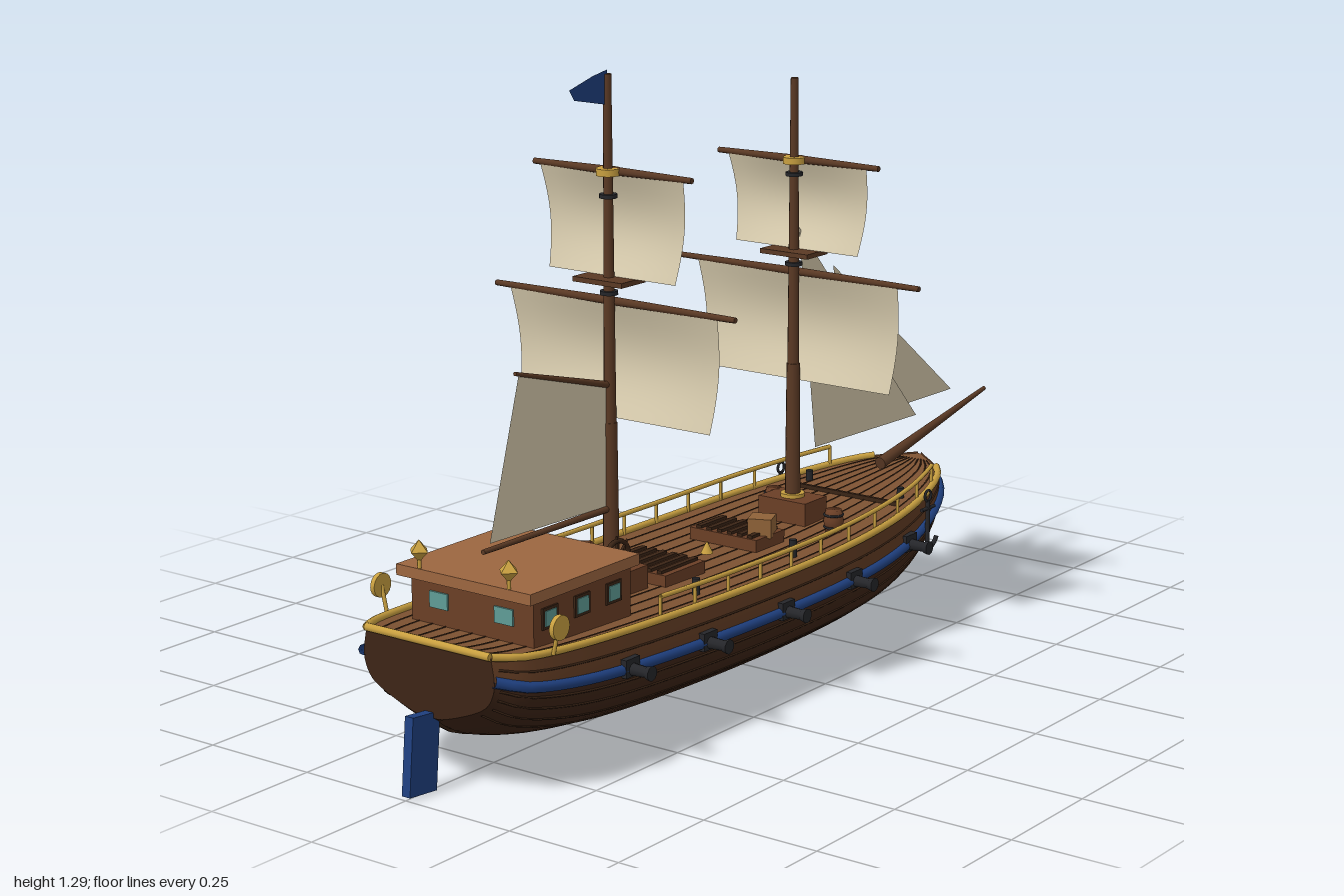
import * as THREE from 'three';

const V = (x, y, z = 0) => new THREE.Vector3(x, y, z);
const mat = (color) => new THREE.MeshStandardMaterial({ color, side: THREE.DoubleSide });
const M = {
  hull: mat(0x3d2416), side: mat(0x5f3a22), deck: mat(0x7d5232), seam: mat(0x3a2415), cabin: mat(0x6b3f26),
  roof: mat(0x9c6640), spar: mat(0x5a3924), blue: mat(0x1f4080), gold: mat(0xc9a040), sail: mat(0xd8ccae),
  iron: mat(0x25262a), glass: mat(0x5f9c96), wood: mat(0x8f6238),
};

// Hull stations: x, sheer height, keel height, half beam
const stations = [
  [-0.93, 0.295, 0.15, 0.16], [-0.85, 0.285, 0.1, 0.2], [-0.65, 0.275, 0.055, 0.222], [-0.3, 0.265, 0.036, 0.232],
  [0.05, 0.262, 0.034, 0.23], [0.3, 0.268, 0.046, 0.212], [0.5, 0.278, 0.095, 0.17], [0.65, 0.29, 0.18, 0.105], [0.73, 0.3, 0.27, 0.004],
];
const curve = (pts) => new THREE.CatmullRomCurve3(pts, false, 'catmullrom', 0.5);
const sheerLine = curve(stations.map((s) => V(s[0], s[1], s[3])));
const keelLine = curve(stations.map((s) => V(s[0], s[2])));
// Half section as fractions of beam and depth; k = 5/6 is the widest line
const section = curve([[0, 0], [0.2, 0], [0.6, 0.15], [0.86, 0.3], [0.97, 0.48], [1, 0.68], [0.95, 1]].map((p) => V(...p)));
const WALE = 5 / 6;

function hullPoint(t, k, side = 1) {
  const s = sheerLine.getPoint(t), b = keelLine.getPoint(t), f = section.getPoint(k);
  return V(s.x, b.y + (s.y - b.y) * f.y, side * s.z * f.x);
}
function tAt(x) {
  let a = 0, b = 1;
  for (let i = 0; i < 30; i++) {
    const m = (a + b) / 2;
    if (sheerLine.getPoint(m).x < x) a = m; else b = m;
  }
  return a;
}
function grid(fn, nu, nv) {
  const pos = [], idx = [];
  for (let i = 0; i <= nu; i++) for (let j = 0; j <= nv; j++) {
    pos.push(...fn(i / nu, j / nv).toArray());
    if (i < nu && j < nv) {
      const a = i * (nv + 1) + j, b = a + nv + 1;
      idx.push(a, b, a + 1, b, b + 1, a + 1);
    }
  }
  const g = new THREE.BufferGeometry();
  g.setAttribute('position', new THREE.Float32BufferAttribute(pos, 3));
  g.setIndex(idx);
  g.computeVertexNormals();
  return g;
}

export function createModel() {
  const ship = new THREE.Group();
  ship.name = 'sailingShip';
  const add = (name, geo, m, x = 0, y = 0, z = 0) => {
    const mesh = new THREE.Mesh(geo, m);
    mesh.name = name;
    mesh.position.set(x, y, z);
    ship.add(mesh);
    return mesh;
  };
  const box = (name, m, w, h, d, x, y, z) => add(name, new THREE.BoxGeometry(w, h, d), m, x, y, z);
  const rod = (name, m, a, b, r0, r1 = r0, n = 10) => {
    const d = b.clone().sub(a), c = a.clone().add(b).multiplyScalar(0.5);
    const mesh = add(name, new THREE.CylinderGeometry(r1, r0, d.length(), n), m, c.x, c.y, c.z);
    mesh.quaternion.setFromUnitVectors(V(0, 1, 0), d.normalize());
    return mesh;
  };
  // Tube that follows a rule fn(t) between two positions along the ship
  const strake = (name, m, fn, x0, x1, r, n = 6) => {
    const t0 = tAt(x0), t1 = tAt(x1);
    const pts = Array.from({ length: 25 }, (_, i) => fn(t0 + (t1 - t0) * i / 24));
    add(name, new THREE.TubeGeometry(new THREE.CatmullRomCurve3(pts), 48, r, n), m);
  };
  const flat = (name, m, pts, z = 0) =>
    add(name, new THREE.ShapeGeometry(new THREE.Shape(pts.map((p) => new THREE.Vector2(...p)))), m, 0, 0, z);

  // Hull shell, transom, deck
  for (const s of [1, -1]) {
    add('lowerHull', grid((u, v) => hullPoint(u, v * WALE, s), 48, 16), M.hull);
    add('upperHull', grid((u, v) => hullPoint(u, WALE + v * (1 - WALE), s), 48, 4), M.side);
    strake('blueWale', M.blue, (t) => hullPoint(t, WALE, s), -0.93, 0.67, 0.011, 8);
    strake('gunwale', M.gold, (t) => hullPoint(t, 1, s), -0.93, 0.67, 0.008, 8);
    for (const k of [0.4, 0.52, 0.64, 0.75, 0.92]) strake('hullSeam', M.seam, (t) => hullPoint(t, k, s), -0.92, 0.7, 0.0025, 4);
  }
  add('transom', grid((u, v) => { const p = hullPoint(0, u); p.z *= 2 * v - 1; return p; }, 16, 4), M.hull);
  const deckPoint = (t, w) => { const p = hullPoint(t, 1, w); p.y -= 0.004; return p; };
  add('deck', grid((u, v) => deckPoint(u, 2 * v - 1), 48, 8), M.deck);
  for (let i = -5; i <= 5; i++) strake('deckSeam', M.seam, (t) => deckPoint(t, i / 6), -0.92, 0.7, 0.0018, 4);
  rod('sternRail', M.gold, hullPoint(0, 1, -1), hullPoint(0, 1, 1), 0.008);
  strake('keel', M.seam, (t) => hullPoint(t, 0), -0.93, 0.729, 0.007);

  // Side rails, guns and anchors, mirrored
  for (const s of [1, -1]) {
    const railPoint = (t) => hullPoint(t, 1, s * 0.97).add(V(0, 0.042, 0));
    strake('handRail', M.gold, railPoint, -0.5, 0.57, 0.005);
    for (let i = 0; i <= 10; i++) {
      const p = railPoint(tAt(-0.5 + i * 0.107));
      rod('railPost', M.gold, p.clone().add(V(0, -0.045, 0)), p, 0.004, 0.004, 6);
    }
    for (const x of [-0.615, -0.38, -0.12, 0.13, 0.38]) {
      const p = hullPoint(tAt(x), WALE, s), end = p.clone().add(V(0, 0, s * 0.055));
      box('gunPort', M.iron, 0.042, 0.036, 0.02, p.x, p.y + 0.004, p.z);
      rod('gunBarrel', M.iron, p, end, 0.013, 0.01);
      rod('gunMuzzle', M.iron, end.clone().add(V(0, 0, -s * 0.012)), end, 0.012, 0.015);
    }
    const a = hullPoint(tAt(0.465), WALE, s).add(V(0, 0, s * 0.014));
    rod('anchorShank', M.iron, V(a.x, 0.17, a.z), V(a.x, 0.28, a.z), 0.005);
    rod('anchorStock', M.iron, V(a.x - 0.025, 0.262, a.z), V(a.x + 0.025, 0.262, a.z), 0.004);
    add('anchorRing', new THREE.TorusGeometry(0.012, 0.003, 6, 14), M.iron, a.x, 0.29, a.z);
    add('anchorArms', new THREE.TorusGeometry(0.04, 0.005, 6, 14, Math.PI * 0.7), M.iron, a.x, 0.21, a.z).rotation.z = Math.PI * 1.15;
  }

  // Cabin
  box('cabin', M.cabin, 0.29, 0.115, 0.3, -0.66, 0.315, 0);
  box('cabinRoof', M.roof, 0.325, 0.022, 0.33, -0.668, 0.38, 0);
  for (const s of [1, -1]) {
    for (const x of [-0.76, -0.665, -0.57]) {
      box('windowFrame', M.seam, 0.045, 0.042, 0.006, x, 0.328, s * 0.151);
      box('window', M.glass, 0.033, 0.03, 0.006, x, 0.328, s * 0.153);
    }
    box('rearWindow', M.glass, 0.006, 0.032, 0.045, -0.806, 0.328, s * 0.08);
    box('frontWindow', M.glass, 0.006, 0.03, 0.035, -0.514, 0.328, s * 0.1);
    rod('lanternPost', M.gold, V(-0.826, 0.385, s * 0.11), V(-0.826, 0.41, s * 0.11), 0.004);
    add('lantern', new THREE.OctahedronGeometry(0.022), M.gold, -0.826, 0.425, s * 0.11);
    rod('sideDisc', M.gold, V(-0.815, 0.335, s * 0.215), V(-0.815, 0.335, s * 0.225), 0.024, 0.024, 20);
    rod('discPost', M.gold, V(-0.815, 0.28, s * 0.205), V(-0.815, 0.335, s * 0.218), 0.004);
  }
  box('cabinDoor', M.seam, 0.006, 0.075, 0.055, -0.513, 0.305, 0);

  // Rudder
  box('rudder', M.blue, 0.075, 0.153, 0.02, -0.955, 0.085, 0).rotation.z = -0.09;

  // Masts with yards, platforms and square sails
  const squareSail = (name, x, top, bottom, wTop, wBottom) => add(name, grid((u, v) => {
    const bulge = 0.028 * Math.sin(Math.PI * u) * (0.6 + 0.4 * Math.sin(Math.PI * v));
    return V(x + 0.008 + bulge, top + (bottom - top) * u, (2 * v - 1) * (wTop + (wBottom - wTop) * u));
  }, 12, 12), M.sail);
  for (const [tag, x, top, dy, len] of [['main', -0.385, 1.285, 0.045, 0], ['fore', 0.235, 1.205, 0, 0.01]]) {
    rod(tag + 'LowerMast', M.spar, V(x, 0.26, 0), V(x, 0.6, 0), 0.017, 0.014, 12);
    rod(tag + 'UpperMast', M.spar, V(x, 0.6, 0), V(x, top, 0), 0.0125, 0.008, 12);
    box(tag + 'MastStep', M.cabin, 0.08, 0.05, 0.12, x, 0.285, 0);
    rod(tag + 'MastCollar', M.gold, V(x, 0.305, 0), V(x, 0.318, 0), 0.026, 0.026, 16);
    box(tag + 'Platform', M.spar, 0.075, 0.01, 0.12, x, 0.84 + dy, 0);
    for (const [y, h] of [[0.795 + dy, 0.295 + len], [1.033 + dy * 1.4, 0.193 + len]]) {
      for (const s of [1, -1]) rod(tag + 'Yard', M.spar, V(x + 0.012, y, 0), V(x + 0.012, y, s * h), 0.009, 0.006, 8);
    }
    rod(tag + 'YardBand', M.gold, V(x, 1.026 + dy * 1.4, 0), V(x, 1.04 + dy * 1.4, 0), 0.024, 0.024, 14);
    for (const y of [0.81, 1.0]) rod(tag + 'MastBand', M.iron, V(x, y + dy, 0), V(x, y + dy + 0.008, 0), 0.018, 0.018, 12);
    squareSail(tag + 'Course', x, 0.79 + dy, 0.563 + dy, 0.255, 0.237);
    squareSail(tag + 'Topsail', x, 1.03 + dy * 1.4, 0.845 + dy, 0.175, 0.155);
  }
  flat('flag', M.blue, [[-0.385, 1.293], [-0.43, 1.285], [-0.5, 1.266], [-0.485, 1.245], [-0.385, 1.225]]);

  // Fore and aft sails with their spars
  flat('staysail', M.sail, [[0.25, 0.89], [0.315, 0.4], [0.71, 0.39]], 0.002);
  flat('jib', M.sail, [[0.385, 0.785], [0.42, 0.425], [0.86, 0.42]], -0.002);
  flat('spanker', M.sail, [[-0.66, 0.745], [-0.75, 0.44], [-0.395, 0.432], [-0.395, 0.675]]);
  rod('gaff', M.spar, V(-0.385, 0.675), V(-0.67, 0.752), 0.007, 0.004);
  rod('boom', M.spar, V(-0.385, 0.426), V(-0.77, 0.428), 0.007, 0.005);
  rod('bowsprit', M.spar, V(0.57, 0.308), V(1, 0.394), 0.014, 0.005);

  // Deck fittings: hatches, wheel, barrels, rope, crate
  for (const [x, w] of [[-0.255, 0.13], [0.035, 0.1]]) {
    box('hatchFrame', M.cabin, w, 0.026, 0.17, x, 0.272, 0);
    for (let i = 0; i < 6; i++) box('hatchSlat', M.seam, w - 0.01, 0.008, 0.012, x, 0.287, -0.065 + i * 0.026);
  }
  add('wheelRim', new THREE.TorusGeometry(0.038, 0.005, 8, 24), M.seam, -0.405, 0.33, 0.03);
  for (let i = 0; i < 4; i++) {
    const c = Math.cos(i * Math.PI / 4) * 0.047, s = Math.sin(i * Math.PI / 4) * 0.047;
    rod('wheelSpoke', M.seam, V(-0.405 - c, 0.33 - s, 0.03), V(-0.405 + c, 0.33 + s, 0.03), 0.003, 0.003, 6);
  }
  for (const [x, z] of [[-0.3, -0.135], [0.2, 0.13], [0.265, -0.07]]) {
    const profile = [[0, 0], [0.017, 0], [0.022, 0.024], [0.017, 0.048], [0, 0.048]].map((p) => new THREE.Vector2(...p));
    add('barrel', new THREE.LatheGeometry(profile, 14), M.cabin, x, 0.262, z);
    for (const y of [0.273, 0.299]) add('barrelHoop', new THREE.TorusGeometry(0.02, 0.0025, 6, 14), M.iron, x, y, z).rotation.x = Math.PI / 2;
  }
  for (const y of [0.264, 0.272]) add('ropeCoil', new THREE.TorusGeometry(0.019, 0.005, 6, 18), M.seam, -0.185, y, -0.055).rotation.x = Math.PI / 2;
  box('crate', M.wood, 0.05, 0.04, 0.05, 0.04, 0.3, 0.06).rotation.y = 0.4;
  add('bell', new THREE.ConeGeometry(0.013, 0.026, 12), M.gold, -0.15, 0.3, 0.06);
  for (const [x, z] of [[-0.32, 0.16], [0.01, 0.16], [0.47, 0.12], [0.47, -0.12]]) rod('bollard', M.iron, V(x, 0.255, z), V(x, 0.295, z), 0.008);
  box('foredeckBeam', M.seam, 0.008, 0.01, 0.29, 0.42, 0.273, 0);
  return ship;
}
